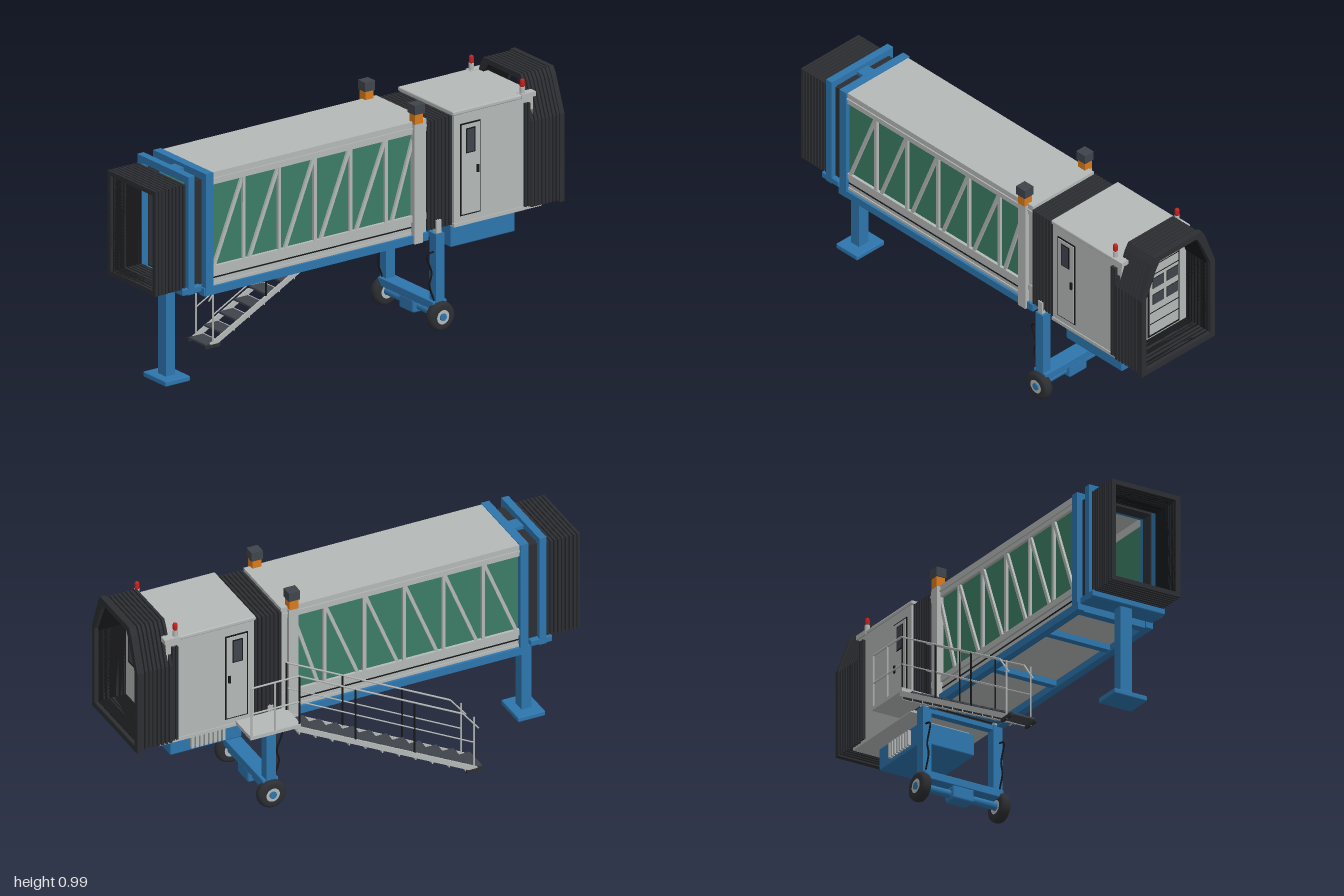
import * as THREE from 'three';
import { RoundedBoxGeometry } from 'three/addons/geometries/RoundedBoxGeometry.js';

const mat = (name, color) => Object.assign(new THREE.MeshStandardMaterial({ color }), { name });

export function createModel() {
  const root = new THREE.Group();
  root.name = 'boardingBridge';
  const grey = mat('light grey panel', 0xb4b8b7);
  const blue = mat('blue steel', 0x2d75ad);
  const glass = mat('green glass', 0x3c7d66);
  const rubber = mat('dark rubber', 0x2c2e32);
  const slate = mat('slate window', 0x3f444c);
  const black = mat('black trim', 0x17181a);
  const orange = mat('orange beacon', 0xd97a1c);
  const red = mat('red lamp', 0xc8201e);
  const CZ = 0.054; // centre plane of the bridge

  const add = (name, geo, m, x = 0, y = 0, z = 0) => {
    const o = new THREE.Mesh(geo, m);
    o.name = name;
    o.position.set(x, y, z);
    root.add(o);
    return o;
  };
  const box = (name, m, x0, x1, y0, y1, z0, z1, r = 0) => {
    const s = [x1 - x0, y1 - y0, z1 - z0];
    const g = r ? new RoundedBoxGeometry(...s, 2, r) : new THREE.BoxGeometry(...s);
    return add(name, g, m, (x0 + x1) / 2, (y0 + y1) / 2, (z0 + z1) / 2);
  };
  // Box between two distances from the centre plane, on both sides
  const pair = (name, m, x0, x1, y0, y1, d0, d1, r = 0) => {
    box(name + 'Front', m, x0, x1, y0, y1, CZ + d0, CZ + d1, r);
    box(name + 'Back', m, x0, x1, y0, y1, CZ - d1, CZ - d0, r);
  };
  // Square bar between two points
  const bar = (name, m, a, b, w, d = w) => {
    const p = new THREE.Vector3(...a), q = new THREE.Vector3(...b);
    const o = add(name, new THREE.BoxGeometry(w, d, p.distanceTo(q)), m);
    o.position.copy(p).add(q).multiplyScalar(0.5);
    o.lookAt(q);
  };
  const tube = (name, m, pts, r) => {
    const path = new THREE.CurvePath();
    const v = pts.map(p => new THREE.Vector3(...p));
    for (let i = 1; i < v.length; i++) path.add(new THREE.LineCurve3(v[i - 1], v[i]));
    add(name, new THREE.TubeGeometry(path, (v.length - 1) * 4, r, 6), m);
  };
  // Ring around the x axis: half width w, y0..y1, top corners cut by (cw, ch)
  const ring = (name, m, x, depth, w, y0, y1, t, cw = 0, ch = 0) => {
    const outline = (k) => {
      const a = w - k, top = y1 - k;
      const p = [[-a, y0 + k], [a, y0 + k]];
      if (cw) {
        p.push([a, y1 - ch], [a - cw * 0.75, top - 0.03], [a - cw, top]);
        p.push([-a + cw, top], [-a + cw * 0.75, top - 0.03], [-a, y1 - ch]);
      } else p.push([a, top], [-a, top]);
      return p.map(q => new THREE.Vector2(...q));
    };
    const s = new THREE.Shape(outline(0));
    s.holes.push(new THREE.Path(outline(t)));
    const g = new THREE.ExtrudeGeometry(s, { depth, bevelEnabled: false });
    g.rotateY(Math.PI / 2);
    add(name, g, m, x, 0, CZ);
  };
  const bellows = (name, n, x0, x1, w, y0, y1, t, cw, ch) => {
    const step = (x1 - x0) / n;
    ring(name + 'Skin', black, x0 + 0.002, x1 - x0 - 0.004, w - 0.008, y0 + 0.008, y1 - 0.008, t - 0.008, cw, ch);
    for (let i = 0; i < n; i++) ring(name + 'Fold', rubber, x0 + i * step, step * 0.65, w, y0, y1, t, cw, ch);
  };

  // Rear bellows and the two blue portal frames
  bellows('rearBellows', 9, -1, -0.845, 0.162, 0.44, 0.885, 0.02);
  ring('rearPortal', blue, -0.845, 0.032, 0.172, 0.415, 0.918, 0.03);
  ring('tunnelPortal', blue, -0.762, 0.037, 0.178, 0.395, 0.915, 0.03);
  ring('portalSeal', rubber, -0.815, 0.055, 0.15, 0.44, 0.885, 0.012);
  box('pivotBracket', blue, -0.872, -0.775, 0.415, 0.445, CZ - 0.172, CZ + 0.172, 0.006);
  box('pivotLink', blue, -0.815, -0.76, 0.885, 0.9, CZ - 0.03, CZ + 0.03);

  // Rear support column
  box('rearColumn', blue, -0.85, -0.805, 0.02, 0.425, CZ - 0.027, CZ + 0.027);
  box('rearFoot', blue, -0.887, -0.765, 0.005, 0.028, CZ - 0.077, CZ + 0.077, 0.005);

  // Tunnel shell
  box('tunnelRoof', grey, -0.74, 0.34, 0.895, 0.912, CZ - 0.17, CZ + 0.17);
  box('tunnelFloor', grey, -0.75, 0.34, 0.425, 0.44, CZ - 0.165, CZ + 0.165);
  pair('topBeam', grey, -0.725, 0.34, 0.86, 0.905, 0.148, 0.17);
  pair('bottomBeam', grey, -0.725, 0.34, 0.485, 0.512, 0.148, 0.17);
  pair('kickPanel', grey, -0.725, 0.34, 0.43, 0.485, 0.148, 0.16);
  pair('trimLine', black, -0.725, 0.34, 0.458, 0.463, 0.16, 0.163);
  pair('roofGutter', grey, -0.725, 0.34, 0.88, 0.888, 0.17, 0.175);
  pair('sideGlass', glass, -0.725, 0.28, 0.51, 0.862, 0.15, 0.157);
  pair('endPanel', grey, 0.27, 0.34, 0.43, 0.9, 0.148, 0.166);
  pair('sideGirder', blue, -0.77, 0.345, 0.395, 0.428, 0.145, 0.177);
  for (const x of [-0.5, -0.1, 0.3]) box('crossGirder', blue, x, x + 0.03, 0.4, 0.425, CZ - 0.15, CZ + 0.15);

  // Lattice of posts and diagonals on both sides
  for (const s of [1, -1]) for (let i = 0; i < 6; i++) {
    const x = -0.742 + i * 0.177, z = CZ + s * 0.162, x2 = Math.min(x + 0.172, 0.285);
    if (i) bar('latticePost', grey, [x, 0.5, z], [x, 0.87, z], 0.014);
    bar('latticeDiagonal', grey, [x + 0.03, 0.51, z], [x2, 0.862, z], 0.012, 0.014);
  }

  // Lift columns with beacons
  pair('liftColumn', grey, 0.27, 0.312, 0.395, 0.905, 0.15, 0.186);
  pair('beaconBase', orange, 0.271, 0.311, 0.905, 0.95, 0.148, 0.188);
  pair('beaconCap', slate, 0.266, 0.316, 0.948, 0.988, 0.144, 0.192);

  // Joint bellows and cab
  bellows('jointBellows', 7, 0.342, 0.468, 0.176, 0.435, 0.9, 0.02);
  box('cabBody', grey, 0.468, 0.86, 0.43, 0.905, CZ - 0.183, CZ + 0.183);
  box('cabRoof', grey, 0.46, 0.868, 0.9, 0.918, CZ - 0.187, CZ + 0.187, 0.005);
  box('cabSill', grey, 0.465, 0.9, 0.425, 0.44, CZ - 0.187, CZ + 0.187);
  pair('sideDoorFrame', black, 0.497, 0.598, 0.466, 0.858, 0.182, 0.186);
  pair('sideDoor', grey, 0.503, 0.592, 0.472, 0.852, 0.184, 0.189);
  pair('sideDoorWindowFrame', black, 0.522, 0.568, 0.73, 0.836, 0.187, 0.191);
  pair('sideDoorWindow', slate, 0.527, 0.563, 0.735, 0.831, 0.189, 0.193);
  pair('sideDoorHandle', black, 0.576, 0.586, 0.64, 0.672, 0.186, 0.196);

  // Cab end wall: window and panelled shutter
  box('endWindowFrame', black, 0.858, 0.866, 0.626, 0.814, 0.107, 0.207, 0.003);
  box('endWindow', slate, 0.862, 0.869, 0.64, 0.802, 0.12, 0.195);
  box('shutterFrame', black, 0.858, 0.864, 0.466, 0.868, -0.084, 0.092);
  box('shutter', grey, 0.86, 0.867, 0.478, 0.862, -0.076, 0.084);
  for (const y of [0.53, 0.585, 0.77, 0.815]) box('shutterSeam', black, 0.864, 0.869, y, y + 0.003, -0.076, 0.084);
  for (const y of [0.625, 0.705]) for (const z of [-0.07, 0.008]) {
    box('shutterPaneFrame', black, 0.865, 0.869, y - 0.002, y + 0.048, z - 0.002, z + 0.062);
    box('shutterPane', slate, 0.866, 0.871, y, y + 0.046, z, z + 0.06);
  }

  // Docking canopy around the cab mouth
  bellows('canopy', 8, 0.84, 0.985, 0.2, 0.435, 0.98, 0.022, 0.075, 0.18);
  ring('canopyBumper', rubber, 0.978, 0.022, 0.205, 0.428, 0.985, 0.026, 0.075, 0.18);
  for (let i = 0; i < 2; i++) pair('canopyFold', rubber, 0.812 + i * 0.016, 0.822 + i * 0.016, 0.44, 0.88, 0.182, 0.196);

  // Red lamps at the cab corners
  for (const s of [1, -1]) {
    const z = CZ + s * 0.172;
    add('lampBase', new THREE.CylinderGeometry(0.011, 0.011, 0.03, 12), grey, 0.815, 0.932, z);
    add('lamp', new THREE.CapsuleGeometry(0.01, 0.018, 4, 12), red, 0.815, 0.962, z);
    box('lampBracket', grey, 0.8, 0.87, 0.9, 0.92, z - 0.018, z + 0.018);
  }

  // Equipment box under the cab with louvres
  box('equipmentBox', blue, 0.49, 0.81, 0.318, 0.414, -0.065, 0.185, 0.006);
  box('boxHanger', grey, 0.51, 0.79, 0.41, 0.43, -0.05, 0.17);
  for (let i = 0; i < 8; i++) box('louvre', grey, 0.57 + i * 0.02, 0.582 + i * 0.02, 0.335, 0.4, -0.08, -0.064);

  // Drive legs, axle and wheels
  pair('driveLeg', blue, 0.373, 0.416, 0.1, 0.416, 0.147, 0.189);
  pair('legPiston', grey, 0.381, 0.405, 0.41, 0.472, 0.158, 0.182);
  box('legTie', blue, 0.378, 0.411, 0.395, 0.415, CZ - 0.15, CZ + 0.15);
  box('axleBeam', blue, 0.36, 0.43, 0.095, 0.13, CZ - 0.187, CZ + 0.187, 0.004);
  box('axlePivot', blue, 0.362, 0.428, 0.04, 0.1, CZ - 0.05, CZ + 0.05, 0.01);
  const axle = add('axle', new THREE.CylinderGeometry(0.017, 0.017, 0.36, 16), blue, 0.395, 0.068, CZ);
  axle.rotation.x = Math.PI / 2;
  const tyre = [[0.03, -0.021], [0.048, -0.022], [0.058, -0.017], [0.062, -0.006], [0.062, 0.006], [0.058, 0.017], [0.048, 0.022], [0.03, 0.021]];
  for (const s of [1, -1]) {
    const z = CZ + s * 0.188;
    add('tyre', new THREE.LatheGeometry(tyre.map(p => new THREE.Vector2(...p)), 32), rubber, 0.395, 0.065, z).rotation.x = Math.PI / 2;
    add('rim', new THREE.CylinderGeometry(0.033, 0.033, 0.038, 24), grey, 0.395, 0.065, z).rotation.x = Math.PI / 2;
    add('hub', new THREE.CylinderGeometry(0.016, 0.016, 0.048, 12), blue, 0.395, 0.065, z).rotation.x = Math.PI / 2;
    const hose = new THREE.CatmullRomCurve3([[0.372, 0.34], [0.34, 0.33], [0.362, 0.25], [0.352, 0.2], [0.375, 0.13]].map(p => new THREE.Vector3(p[0], p[1], CZ + s * 0.175)));
    add('hose', new THREE.TubeGeometry(hose, 20, 0.004, 6), black);
  }

  // Service stairs behind the tunnel
  const Z0 = -0.265, Z1 = -0.14;
  for (let i = 0; i < 11; i++) {
    const x = -0.45 + i * 0.0745, y = 0.015 + i * 0.0385;
    box('tread', slate, x - 0.037, x + 0.036, y - 0.004, y + 0.004, Z0 + 0.008, Z1 - 0.008);
    box('treadNosing', grey, x + 0.032, x + 0.037, y - 0.006, y + 0.005, Z0 + 0.006, Z1 - 0.006);
  }
  for (const z of [Z0 + 0.005, Z1 - 0.005]) {
    bar('stringer', grey, [-0.46, 0.008, z], [0.34, 0.425, z], 0.008, 0.022);
    box('stairFoot', rubber, -0.49, -0.415, 0, 0.014, z - 0.006, z + 0.006);
    tube('stairRail', grey, [[-0.47, 0.2, z], [-0.45, 0.26, z], [0.33, 0.67, z]], 0.004);
    tube('stairMidRail', grey, [[-0.45, 0.137, z], [0.33, 0.55, z]], 0.003);
    for (const x of [-0.45, -0.185, 0.08, 0.33]) {
      const y = 0.26 + (x + 0.45) * 0.526;
      tube('stairPost', x === -0.45 ? grey : black, [[x, y - 0.245, z], [x, y, z]], 0.004);
    }
  }

  // Landing with outer guard rail
  box('landing', grey, 0.325, 0.55, 0.43, 0.446, Z0, -0.125);
  for (const y of [0.55, 0.672]) tube('landingRail', grey, [[0.33, y, Z0 + 0.005], [0.545, y, Z0 + 0.005]], 0.004);
  for (const x of [0.44, 0.545]) tube('landingPost', grey, [[x, 0.44, Z0 + 0.005], [x, 0.674, Z0 + 0.005]], 0.004);

  return root;
}
